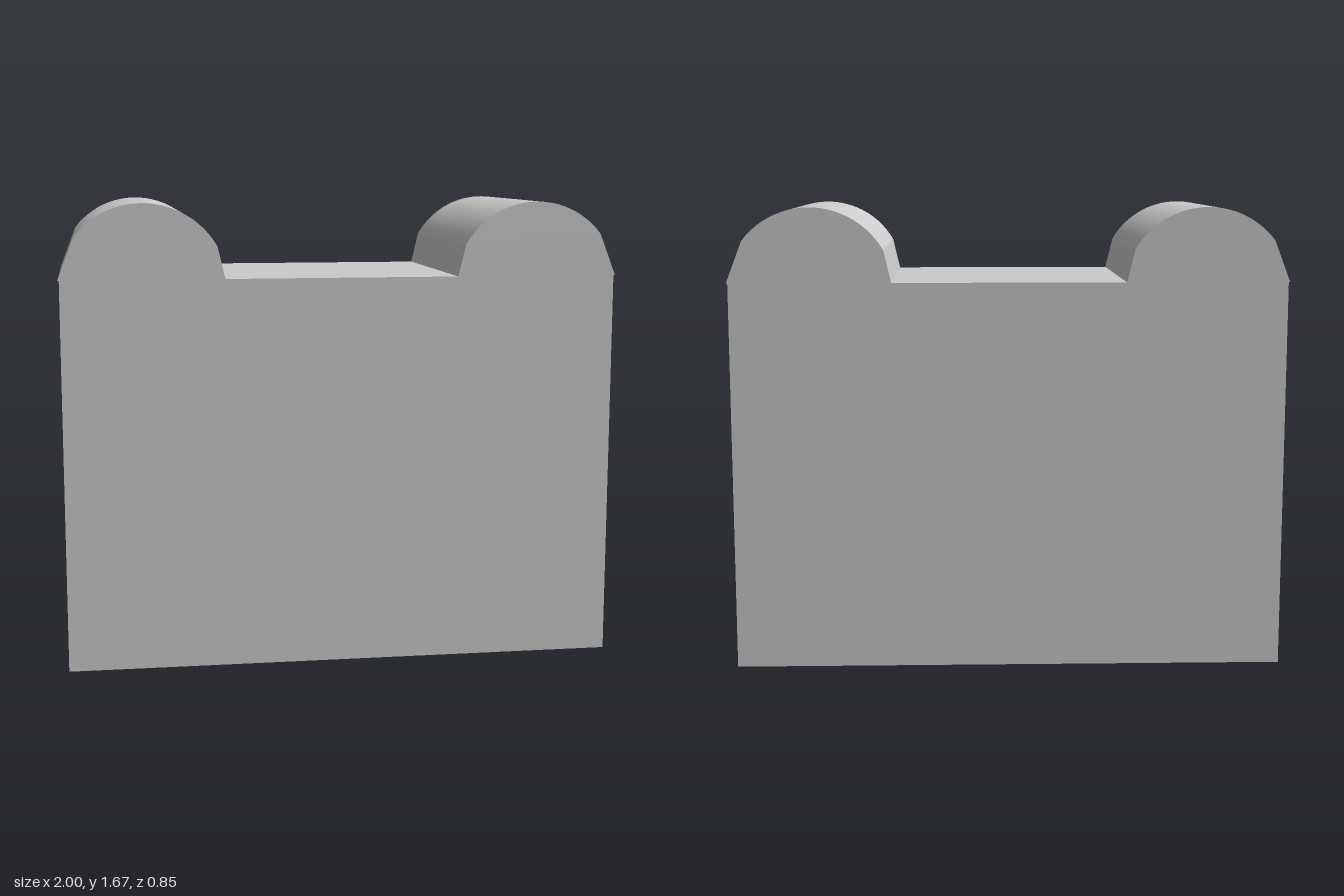
import * as THREE from 'three';
import { toCreasedNormals } from 'three/addons/utils/BufferGeometryUtils.js';

const DEPTH = 0.848, SEAT = 1.405, HALF = 0.995;

export function createModel() {
  const group = new THREE.Group();
  const material = new THREE.MeshStandardMaterial({ color: 0xcccccc });

  // Solid block under both rolls
  const block = new THREE.Mesh(new THREE.BoxGeometry(HALF * 2, SEAT, DEPTH), material);
  block.name = 'block';
  block.position.y = SEAT / 2;
  group.add(block);

  // Rounded roll on each side: sloped flanks with an arc on top
  for (const side of [-1, 1]) {
    const cx = 0.705, cy = 1.37, r = 0.3;
    const a0 = Math.atan2(1.52 - cy, -0.26), a1 = Math.atan2(1.555 - cy, 0.24);
    const pts = [[1, SEAT], [0.418, SEAT]];
    for (let i = 0; i <= 24; i++) {
      const a = a0 + (a1 - a0) * i / 24;
      pts.push([cx + r * Math.cos(a), cy + r * Math.sin(a)]);
    }
    const shape = new THREE.Shape(pts.map(([x, y]) => new THREE.Vector2(side * x, y)));
    const geometry = new THREE.ExtrudeGeometry(shape, { depth: DEPTH, bevelEnabled: false });
    geometry.translate(0, 0, -DEPTH / 2);
    const roll = new THREE.Mesh(toCreasedNormals(geometry, 0.2), material);
    roll.name = side > 0 ? 'leftRoll' : 'rightRoll';
    group.add(roll);
  }
  return group;
}
